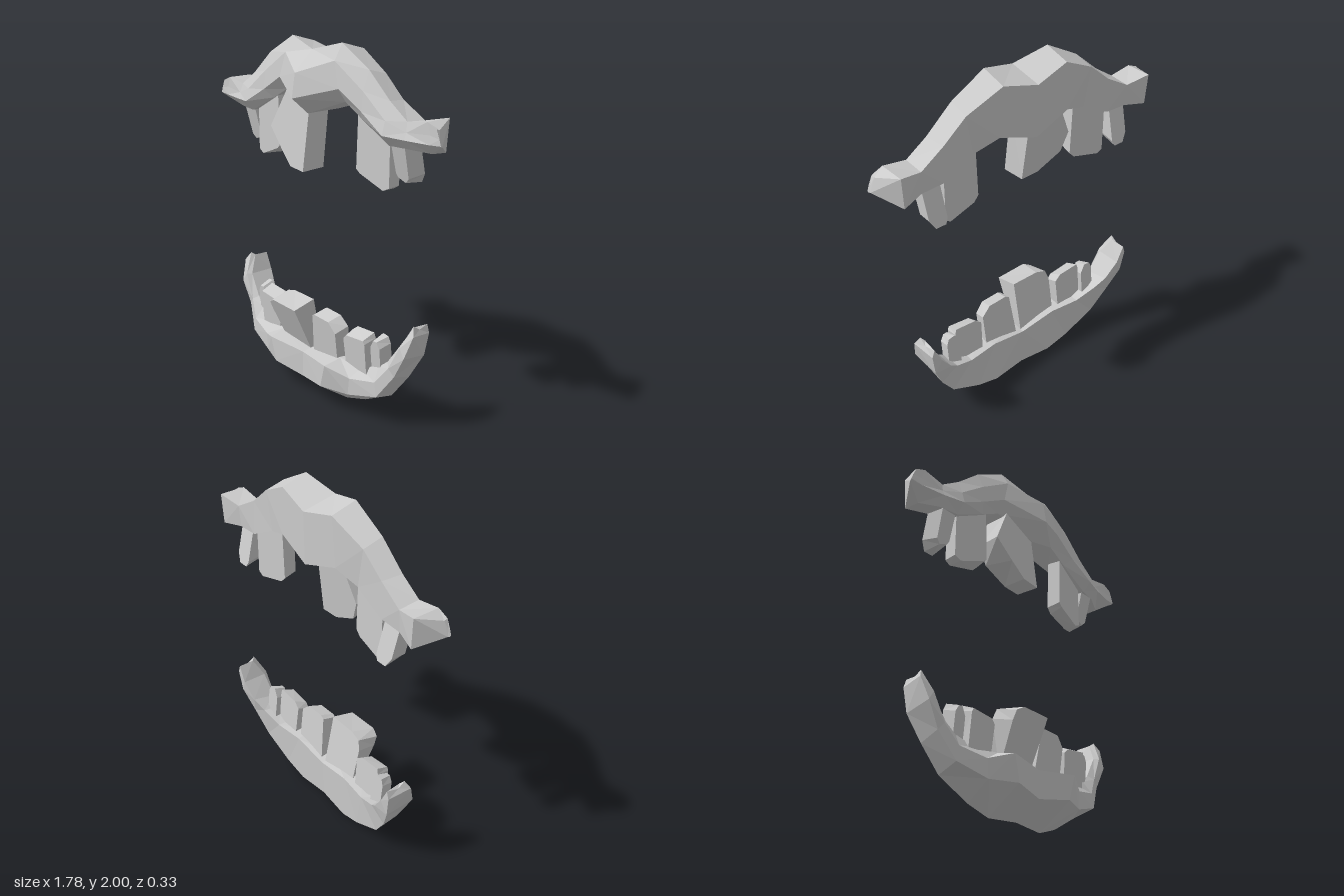
import * as THREE from 'three';

const material = new THREE.MeshStandardMaterial({ color: 0xcccccc, flatShading: true });

// Skin a row of rings (equal point counts, [x, y, z]) into a closed faceted solid
function loft(name, rings) {
  const n = rings[0].length;
  const v = p => new THREE.Vector3(...p);
  const tris = [];
  for (let i = 0; i < rings.length - 1; i++) {
    for (let j = 0; j < n; j++) {
      const k = (j + 1) % n;
      const a = rings[i][j], b = rings[i][k], c = rings[i + 1][k], d = rings[i + 1][j];
      // Split along the shorter diagonal so both halves of a lip match
      if (v(a).distanceTo(v(c)) < v(b).distanceTo(v(d))) tris.push([a, b, c], [a, c, d]);
      else tris.push([a, b, d], [b, c, d]);
    }
  }
  const cap = (ring, flip) => {
    const mid = [0, 1, 2].map(c => ring.reduce((s, p) => s + p[c], 0) / n);
    for (let j = 0; j < n; j++) {
      const a = ring[j], b = ring[(j + 1) % n];
      tris.push(flip ? [mid, b, a] : [mid, a, b]);
    }
  };
  cap(rings[0], true);
  cap(rings[rings.length - 1], false);
  // Signed volume decides which way the faces must turn
  const volume = tris.reduce((s, [a, b, c]) => s + v(a).dot(v(b).cross(v(c))), 0);
  if (volume < 0) tris.forEach(t => t.reverse());
  const geometry = new THREE.BufferGeometry();
  geometry.setAttribute('position', new THREE.Float32BufferAttribute(tris.flat(2), 3));
  geometry.computeVertexNormals();
  const mesh = new THREE.Mesh(geometry, material);
  mesh.name = name;
  return mesh;
}

// Complete a half lip, listed from the middle outwards, with its mirror image
function lip(name, half) {
  const mirrored = half.slice(1).reverse().map(r => r.map(([x, y, z]) => [-x, y, z]));
  return loft(name, [...mirrored, ...half]);
}

// Tooth between a front and a back outline. The leans tip each face forward with
// height, turn swings the outer edge backwards, side mirrors the tooth.
function tooth(name, front, back, { zFront, zBack, lean = 0, leanBack = lean, turn = 0, side = 1 }) {
  const y0 = Math.min(...back.map(p => p[1]));
  const x0 = back.reduce((s, p) => s + p[0], 0) / back.length;
  const ring = (outline, z, tip) =>
    outline.map(([x, y]) => [x * side, y, z + tip * (y - y0) - turn * (x - x0)]);
  return loft(name, [ring(back, zBack, leanBack), ring(front, zFront, lean)]);
}

export function createModel() {
  const model = new THREE.Group();
  model.name = 'mouth';

  // Ring order: top, upper front, lower front, bottom front, bottom back, top back
  model.add(lip('upperLip', [
    [[0, 1.95, 0.03], [0, 1.84, 0.145], [0, 1.71, 0.165], [0, 1.62, 0.06], [0, 1.62, -0.16], [0, 1.91, -0.165]],
    [[0.2, 2, 0], [0.2, 1.915, 0.05], [0.24, 1.78, 0.06], [0.24, 1.71, 0.01], [0.22, 1.69, -0.14], [0.2, 1.96, -0.145]],
    [[0.4, 1.89, 0], [0.4, 1.79, 0.04], [0.4, 1.69, 0.05], [0.36, 1.645, 0.01], [0.36, 1.64, -0.11], [0.4, 1.86, -0.115]],
    [[0.55, 1.76, 0], [0.56, 1.67, 0.04], [0.56, 1.6, 0.06], [0.56, 1.545, 0.01], [0.54, 1.55, -0.11], [0.53, 1.75, -0.11]],
    [[0.67, 1.68, 0], [0.68, 1.63, 0.015], [0.68, 1.595, 0.03], [0.67, 1.545, -0.01], [0.67, 1.545, -0.11], [0.67, 1.67, -0.12]],
    [[0.8, 1.7, 0], [0.82, 1.64, 0], [0.82, 1.595, 0.005], [0.78, 1.535, -0.06], [0.79, 1.53, -0.145], [0.8, 1.7, -0.15]],
    [[0.86, 1.675, 0], [0.88, 1.63, 0], [0.89, 1.6, 0], [0.89, 1.595, -0.005], [0.885, 1.595, -0.015], [0.86, 1.67, -0.02]],
  ]));

  // Ring order: top back, top front, upper front, lower front, bottom
  model.add(lip('lowerLip', [
    [[0, 0.26, -0.06], [0, 0.275, 0.03], [0, 0.265, 0.1], [0, 0.115, 0.1], [0, 0.02, -0.05]],
    [[0.22, 0.3, -0.07], [0.25, 0.305, 0.04], [0.24, 0.285, 0.145], [0.2, 0.145, 0.14], [0.2, 0.005, -0.06]],
    [[0.4, 0.3, -0.09], [0.4, 0.3, 0.02], [0.37, 0.24, 0.08], [0.36, 0.14, 0.08], [0.34, 0.05, -0.07]],
    [[0.52, 0.35, -0.115], [0.51, 0.34, 0], [0.53, 0.27, 0.045], [0.545, 0.19, 0.045], [0.53, 0.15, -0.085]],
    [[0.58, 0.41, -0.145], [0.57, 0.39, -0.01], [0.6, 0.37, 0.015], [0.635, 0.33, 0.005], [0.625, 0.29, -0.115]],
    [[0.65, 0.51, -0.165], [0.65, 0.51, -0.02], [0.67, 0.51, 0.005], [0.705, 0.46, 0.01], [0.69, 0.43, -0.155]],
    [[0.695, 0.605, -0.165], [0.69, 0.61, -0.075], [0.705, 0.625, -0.055], [0.73, 0.58, -0.03], [0.71, 0.56, -0.165]],
  ]));

  // Side teeth, one pair of each
  const upperMolar = [[0.56, 1.56], [0.555, 1.38], [0.57, 1.35], [0.63, 1.35], [0.66, 1.4], [0.665, 1.56]];
  const upperMolarFront = [[0.56, 1.58], [0.56, 1.4], [0.57, 1.38], [0.62, 1.36], [0.645, 1.385], [0.655, 1.58]];
  const upperCanine = [[0.32, 1.66], [0.31, 1.365], [0.34, 1.335], [0.5, 1.3], [0.53, 1.32], [0.53, 1.57]];
  const upperCanineFront = [[0.33, 1.68], [0.32, 1.38], [0.345, 1.36], [0.5, 1.3], [0.54, 1.32], [0.54, 1.6]];
  const lowerMolar = [[0.46, 0.26], [0.455, 0.46], [0.485, 0.51], [0.525, 0.505], [0.54, 0.47], [0.54, 0.26]];
  const lowerMolarFront = [[0.46, 0.26], [0.46, 0.44], [0.485, 0.485], [0.51, 0.485], [0.53, 0.45], [0.53, 0.26]];
  const lowerCanine = [[0.29, 0.24], [0.28, 0.47], [0.32, 0.5], [0.45, 0.51], [0.46, 0.48], [0.455, 0.24]];
  const lowerCanineFront = [[0.295, 0.24], [0.285, 0.44], [0.31, 0.465], [0.445, 0.48], [0.455, 0.46], [0.455, 0.24]];
  for (const side of [-1, 1]) {
    const s = side > 0 ? 'left' : 'right';
    model.add(
      tooth(s + 'UpperMolar', upperMolarFront, upperMolar, { zFront: -0.055, zBack: -0.155, lean: 0.25, side }),
      tooth(s + 'UpperCanine', upperCanineFront, upperCanine, { zFront: -0.005, zBack: -0.085, turn: 0.1, side }),
      tooth(s + 'LowerMolar', lowerMolarFront, lowerMolar, { zFront: -0.005, zBack: -0.08, lean: 0.1, side }),
      tooth(s + 'LowerCanine', lowerCanineFront, lowerCanine, { zFront: 0.03, zBack: -0.05, lean: 0.1, side }),
    );
  }

  // Single large upper front tooth with a chipped lower corner
  model.add(tooth('upperFrontTooth',
    [[0, 1.68], [0, 1.31], [-0.11, 1.32], [-0.2, 1.4], [-0.31, 1.505], [-0.2, 1.72]],
    [[-0.01, 1.65], [0, 1.315], [-0.11, 1.32], [-0.26, 1.39], [-0.3, 1.5], [-0.2, 1.72]],
    { zFront: 0.095, zBack: -0.045, lean: -0.13 }));

  // Lower front teeth, the right one larger and tipped forward
  model.add(tooth('rightLowerFrontTooth',
    [[0, 0.23], [0, 0.53], [-0.19, 0.535], [-0.235, 0.51], [-0.24, 0.46], [-0.22, 0.23]],
    [[0, 0.23], [0, 0.565], [-0.17, 0.565], [-0.235, 0.545], [-0.255, 0.49], [-0.25, 0.23]],
    { zFront: 0.025, zBack: -0.045, lean: 0.45, leanBack: 0.2 }));
  model.add(tooth('leftLowerFrontTooth',
    [[0.025, 0.22], [0.055, 0.5], [0.075, 0.51], [0.19, 0.505], [0.24, 0.45], [0.235, 0.22]],
    [[0.03, 0.22], [0.06, 0.52], [0.085, 0.535], [0.2, 0.53], [0.255, 0.48], [0.25, 0.22]],
    { zFront: 0.04, zBack: -0.045, lean: 0.13 }));

  return model;
}
